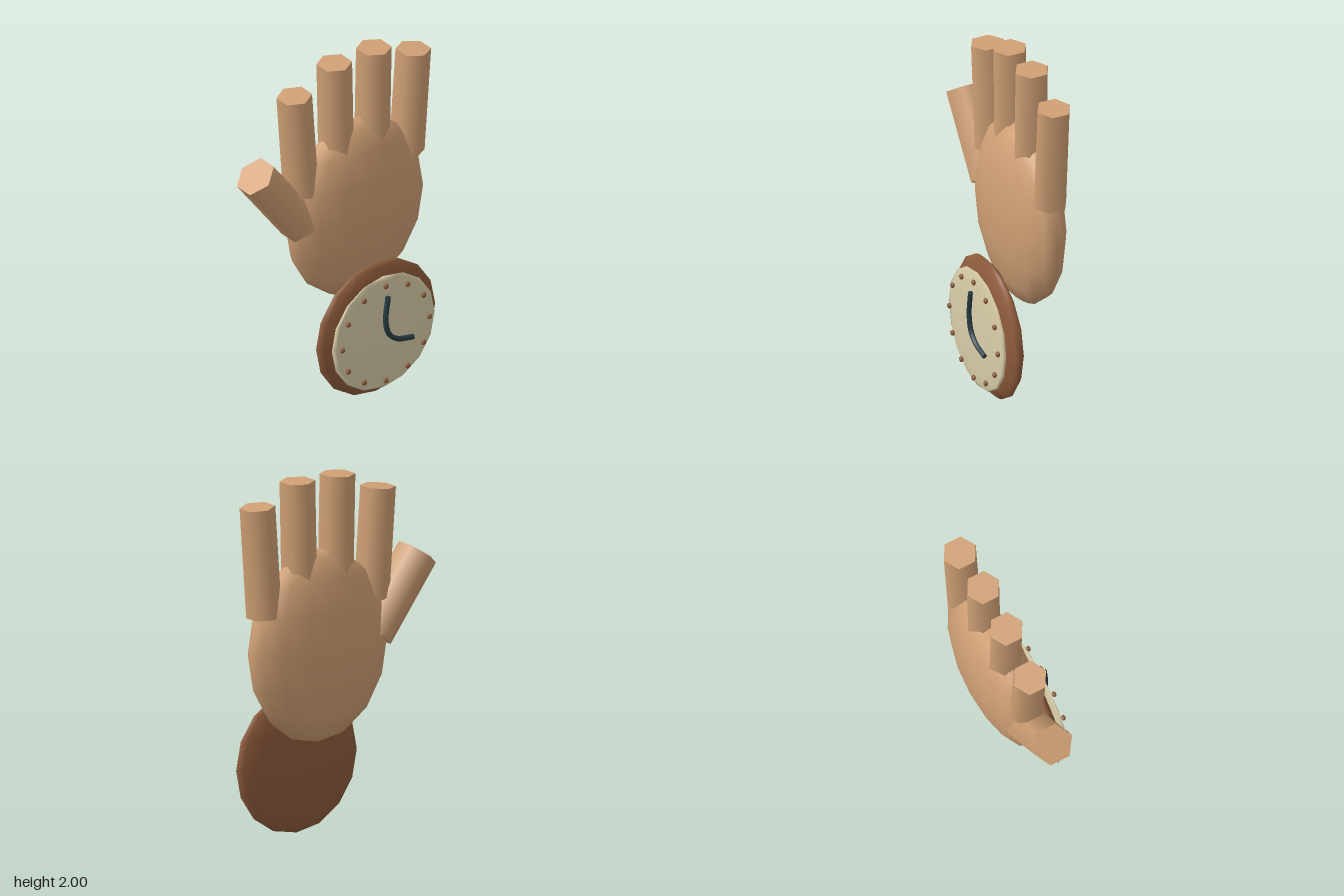
import * as THREE from 'three';

const material = (name, color) => {
  const m = new THREE.MeshStandardMaterial({ color });
  m.name = name;
  return m;
};

export function createModel() {
  const model = new THREE.Group();
  model.name = 'handWithClock';
  const skin = material('skin', 0xd0a075);
  const wood = material('wood', 0x8e5b3c);
  const cream = material('cream', 0xdbcfaa);
  const dark = material('darkTeal', 0x263c44);

  const add = (name, geometry, mat, parent = model) => {
    const mesh = new THREE.Mesh(geometry, mat);
    mesh.name = name;
    parent.add(mesh);
    return mesh;
  };

  const ellipsoid = (name, mat, center, radii, w = 16, h = 8, parent = model) => {
    const geometry = new THREE.SphereGeometry(1, w, h).scale(...radii);
    add(name, geometry, mat, parent).position.set(...center);
  };

  // Six-sided digit between two points in the plane of the hand
  const digit = (name, base, tip, radius) => {
    const dx = tip[0] - base[0], dy = tip[1] - base[1];
    const mesh = add(name, new THREE.CylinderGeometry(radius, radius, Math.hypot(dx, dy), 6), skin);
    mesh.position.set((base[0] + tip[0]) / 2, (base[1] + tip[1]) / 2, -0.073);
    mesh.rotation.z = -Math.atan2(dx, dy);
  };

  // Palm and digits
  ellipsoid('palm', skin, [0.13, 1.075, -0.073], [0.45, 0.532, 0.163]);
  digit('thumb', [-0.233, 1.085], [-0.533, 1.487], 0.115);
  digit('indexFinger', [-0.228, 1.287], [-0.272, 1.892], 0.096);
  digit('middleFinger', [0.01, 1.39], [-0.003, 2.0], 0.096);
  digit('ringFinger', [0.25, 1.39], [0.263, 2.0], 0.096);
  digit('littleFinger', [0.484, 1.287], [0.528, 1.897], 0.096);

  // Clock body and dial
  const clock = new THREE.Group();
  clock.name = 'clock';
  clock.position.set(0.13, 0.405, 0);
  model.add(clock);
  ellipsoid('clockFrame', wood, [0, 0, 0.115], [0.4, 0.4, 0.065], 16, 8, clock);
  ellipsoid('clockFace', cream, [0, 0, 0.182], [0.345, 0.345, 0.019], 16, 8, clock);

  // Hour markers
  for (let i = 0; i < 12; i++) {
    const a = (i / 12) * Math.PI * 2;
    ellipsoid('hourMarker', wood, [0.292 * Math.sin(a), 0.292 * Math.cos(a), 0.207],
      [0.016, 0.016, 0.012], 8, 6, clock);
  }

  // Bent clock hands, one tube with closed ends
  const path = new THREE.CatmullRomCurve3([
    [0, 0.235], [-0.016, 0.09], [0.005, 0.005], [0.06, -0.045], [0.168, -0.072],
  ].map(([x, y]) => new THREE.Vector3(x, y, 0.225)));
  add('clockHands', new THREE.TubeGeometry(path, 16, 0.015, 6), dark, clock);
  for (const [t, sign] of [[0, -1], [1, 1]]) {
    const cap = add('handEnd', new THREE.CircleGeometry(0.015, 6), dark, clock);
    cap.position.copy(path.getPoint(t));
    cap.quaternion.setFromUnitVectors(new THREE.Vector3(0, 0, 1),
      path.getTangent(t).multiplyScalar(sign));
  }
  return model;
}
